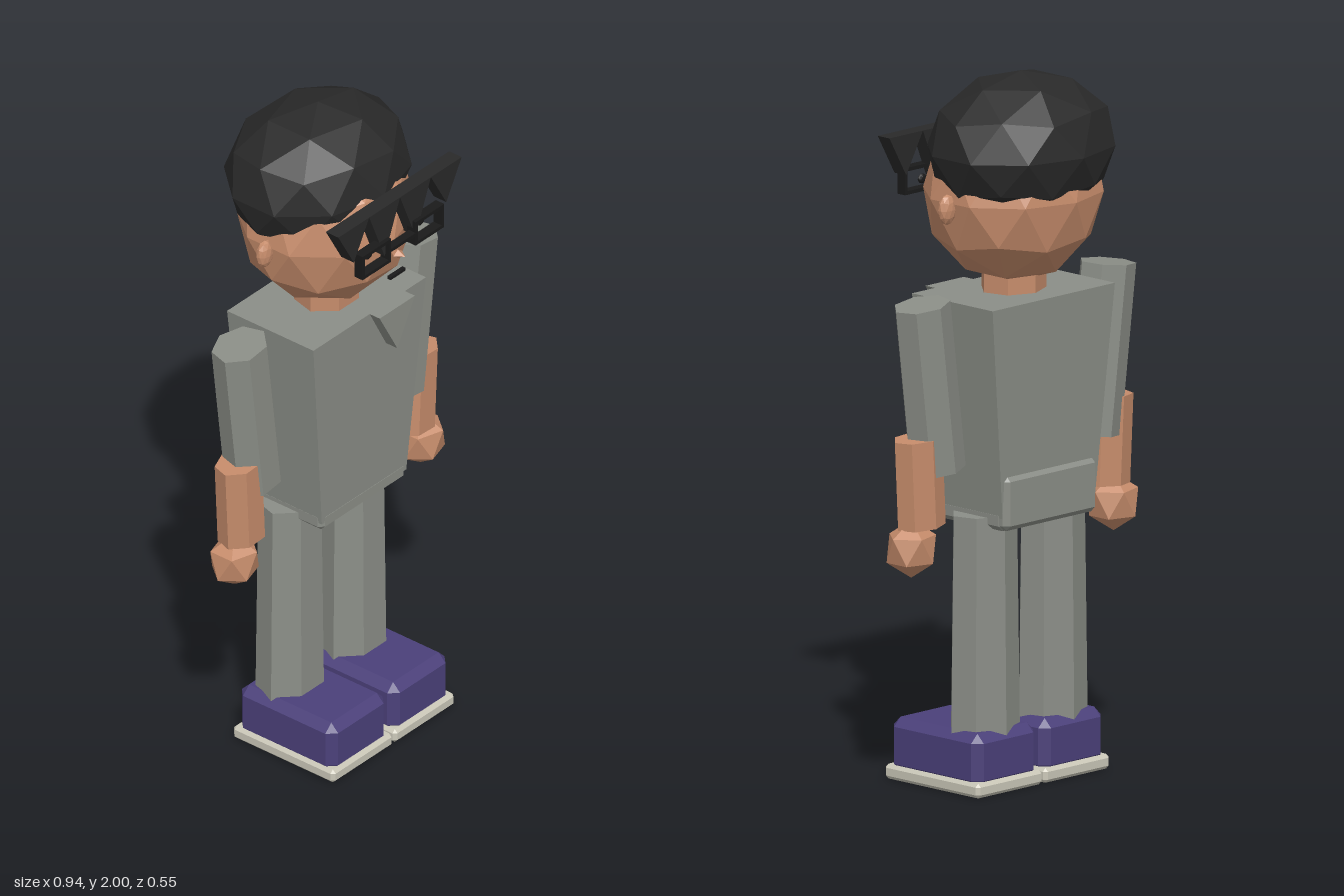
import * as THREE from 'three';
import { ConvexGeometry } from 'three/addons/geometries/ConvexGeometry.js';

const mat = (name, color) => {
  const m = new THREE.MeshStandardMaterial({ color, flatShading: true });
  m.name = name;
  return m;
};

export function createModel() {
  const model = new THREE.Group();
  const skin = mat('skin', 0xc68c6b);
  const hair = mat('hair black', 0x292929);
  const cloth = mat('grey cloth', 0x8b8e87);
  const shoe = mat('purple shoe', 0x4b407a);
  const sole = mat('pale sole', 0xcac7b8);
  const dark = mat('dark detail', 0x1a1a1a);

  const add = (name, geo, material, x = 0, y = 0, z = 0, parent = model) => {
    const mesh = new THREE.Mesh(geo, material);
    mesh.name = name;
    mesh.position.set(x, y, z);
    parent.add(mesh);
    return mesh;
  };

  // Faceted ball with a vertex at the top, stretched on each axis
  const ball = (rx, ry, rz, detail) => new THREE.IcosahedronGeometry(1, detail)
    .rotateX(-Math.atan2(0.851, 0.526)).rotateY(Math.PI / 2).scale(rx, ry, rz);

  // Box with single-step bevels on every edge
  const bevelBox = (w, h, d, b) => {
    const pts = [], [x, y, z] = [w / 2, h / 2, d / 2];
    for (const i of [-1, 1]) for (const j of [-1, 1]) for (const k of [-1, 1]) {
      pts.push(new THREE.Vector3(i * x, j * (y - b), k * (z - b)),
        new THREE.Vector3(i * (x - b), j * y, k * (z - b)),
        new THREE.Vector3(i * (x - b), j * (y - b), k * z));
    }
    return new ConvexGeometry(pts);
  };

  // Seven-sided limb segment between two points in the x-y plane
  const limb = (name, material, [x1, y1], [x2, y2], rTop, rBottom, z, zScale) => {
    const dx = x1 - x2, dy = y1 - y2;
    const geo = new THREE.CylinderGeometry(rTop, rBottom, Math.hypot(dx, dy), 7, 1, false, Math.PI)
      .scale(1, 1, zScale);
    const m = add(name, geo, material, (x1 + x2) / 2, (y1 + y2) / 2, z);
    m.rotation.z = -Math.atan2(dx, dy);
  };

  // Downward-pointing triangular wedge
  const wedge = (w, h, depth) => {
    const s = new THREE.Shape([[-w / 2, 0], [0, -h], [w / 2, 0]].map(p => new THREE.Vector2(...p)));
    return new THREE.ExtrudeGeometry(s, { depth, bevelEnabled: false });
  };

  // Head, hair and neck
  add('head', ball(0.262, 0.26, 0.243, 1), skin, 0, 1.66, -0.004);
  add('hairCap', ball(0.29, 0.21, 0.24, 1), hair, 0, 1.79, -0.035);
  limb('neck', skin, [0, 1.47], [0, 1.36], 0.097, 0.097, -0.002, 0.9);

  // Fringe of four wedges
  [1.695, 1.65, 1.65, 1.695].forEach((tip, i) =>
    add('fringe', wedge(0.1315, 1.81 - tip, 0.045), hair, (i - 1.5) * 0.1315, 1.81, 0.215));

  // Nose and mouth
  add('nose', new THREE.OctahedronGeometry(1).scale(0.018, 0.013, 0.026), skin, 0, 1.622, 0.252);
  add('mouth', new THREE.BoxGeometry(0.064, 0.009, 0.012), dark, 0, 1.555, 0.247);

  // Glasses
  const glasses = new THREE.Group();
  glasses.name = 'glasses';
  model.add(glasses);
  add('bridge', new THREE.BoxGeometry(0.106, 0.01, 0.025), dark, 0, 1.667, 0.26, glasses);

  for (const s of [-1, 1]) {
    for (const t of [-1, 1]) {
      add('rimBar', new THREE.BoxGeometry(0.122, 0.01, 0.03), dark, s * 0.113, 1.668 + t * 0.033, 0.257, glasses);
      add('rimSide', new THREE.BoxGeometry(0.01, 0.076, 0.03), dark, s * 0.113 + t * 0.056, 1.668, 0.257, glasses);
    }
    add('eye', ball(0.016, 0.014, 0.008, 1), dark, s * 0.111, 1.668, 0.238);
    add('ear', ball(0.03, 0.043, 0.02, 1), skin, s * 0.262, 1.645, -0.005);

    // Arms
    limb('upperArm', cloth, [s * 0.365, 1.395], [s * 0.305, 0.92], 0.086, 0.086, -0.008, 0.85);
    limb('forearm', skin, [s * 0.375, 1.02], [s * 0.362, 0.77], 0.077, 0.077, -0.002, 0.78);
    add('hand', ball(0.08, 0.082, 0.073, 0), skin, s * 0.397, 0.711, 0);

    // Legs and shoes
    limb('leg', cloth, [s * 0.133, 0.775], [s * 0.133, 0.12], 0.102, 0.111, -0.02, 0.79);
    add('shoe', bevelBox(0.244, 0.155, 0.345, 0.025), shoe, s * 0.132, 0.0975, 0.058);
    add('sole', bevelBox(0.258, 0.042, 0.364, 0.01), sole, s * 0.132, 0.021, 0.058);
  }

  // Tapered torso
  const torso = new THREE.BoxGeometry(0.48, 0.61, 0.31);
  const p = torso.attributes.position;
  for (let i = 0; i < p.count; i++) {
    if (p.getY(i) < 0) p.setXYZ(i, p.getX(i) * 0.75, p.getY(i), p.getZ(i) * 0.87);
  }
  add('torso', torso, cloth, 0, 1.075, -0.004);
  add('hips', bevelBox(0.364, 0.06, 0.272, 0.015), cloth, 0, 0.772, -0.004);
  add('backPanel', bevelBox(0.362, 0.155, 0.055, 0.015), cloth, 0, 0.822, -0.127);
  add('collarFlap', wedge(0.15, 0.135, 0.045), cloth, 0.075, 1.38, 0.142);

  return model;
}
